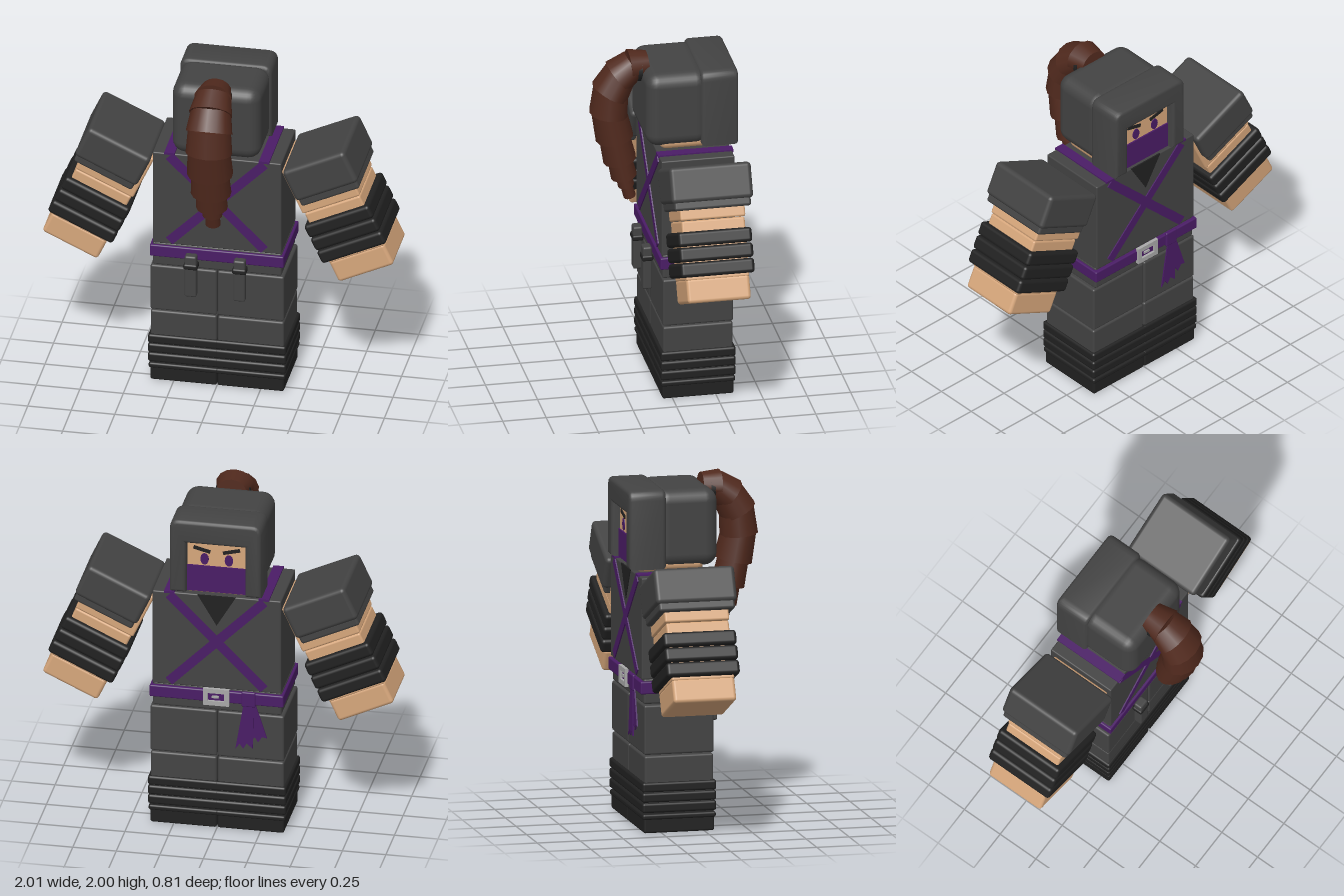
import * as THREE from 'three';
import { RoundedBoxGeometry } from 'three/addons/geometries/RoundedBoxGeometry.js';
import { toCreasedNormals } from 'three/addons/utils/BufferGeometryUtils.js';

const material = (name, color) => {
  const m = new THREE.MeshStandardMaterial({ color });
  m.name = name;
  return m;
};

export function createModel() {
  const cloth = material('greyCloth', 0x434343);
  const black = material('blackWrap', 0x212121);
  const skin = material('skin', 0xd6a67b);
  const purple = material('purpleSash', 0x4a1c66);
  const hair = material('brownHair', 0x50291d);
  const silver = material('silver', 0xa8a8a8);

  const model = new THREE.Group();
  model.name = 'maskedFighter';
  const MID = -0.147; // depth centre of the body

  const add = (parent, name, geometry, mat) => {
    const mesh = new THREE.Mesh(geometry, mat);
    mesh.name = name;
    parent.add(mesh);
    return mesh;
  };
  // Rounded box given by its extents on each axis
  const box = (parent, name, mat, [x0, x1], [y0, y1], [z0, z1], r = 0.012) => {
    const w = x1 - x0, h = y1 - y0, d = z1 - z0;
    const geometry = r > 0 ? new RoundedBoxGeometry(w, h, d, 3, r) : new THREE.BoxGeometry(w, h, d);
    const mesh = add(parent, name, geometry, mat);
    mesh.position.set((x0 + x1) / 2, (y0 + y1) / 2, (z0 + z1) / 2);
    return mesh;
  };
  const depth = (half) => [MID - half, MID + half];
  const polygon = (points) => new THREE.Shape(points.map(([x, y]) => new THREE.Vector2(x, y)));
  const plate = (parent, name, mat, shape, z, thick = 0.008) => {
    const mesh = add(parent, name, new THREE.ExtrudeGeometry(shape, { depth: thick, bevelEnabled: false }), mat);
    mesh.position.z = z;
    return mesh;
  };

  // Legs, feet and ankle wraps
  for (const side of [-1, 1]) {
    const leg = new THREE.Group();
    leg.name = side > 0 ? 'leftLeg' : 'rightLeg';
    leg.position.x = side * 0.193;
    model.add(leg);
    box(leg, 'thigh', cloth, [-0.191, 0.191], [0.45, 0.735], depth(0.202));
    box(leg, 'shin', cloth, [-0.19, 0.19], [0.115, 0.443], depth(0.2));
    for (let i = 0; i < 3; i++) {
      const y = 0.118 + i * 0.059;
      box(leg, 'ankleWrap', black, [-0.204, 0.204], [y, y + 0.056], depth(0.215), 0.014);
    }
    box(leg, 'foot', black, [-0.191, 0.191], [0, 0.1], depth(0.205));
    box(leg, 'footRim', black, [-0.2, 0.2], [0.078, 0.11], depth(0.213));
  }

  // Torso and belt
  box(model, 'waist', cloth, [-0.37, 0.37], [0.74, 0.885], depth(0.202));
  box(model, 'torso', cloth, [-0.37, 0.37], [0.882, 1.465], [-0.36, 0.06], 0.008);
  box(model, 'belt', purple, [-0.385, 0.385], [0.8, 0.872], [-0.37, 0.07], 0.008);

  // Crossed straps on both faces, joined over the shoulders
  for (const z of [0.061, -0.361]) {
    for (const side of [-1, 1]) {
      const strap = box(model, 'crossStrap', purple, [-0.027, 0.027], [-0.385, 0.385], [-0.006, 0.006], 0);
      strap.position.set(0, 1.178, z);
      strap.rotation.z = side * Math.PI / 4;
    }
  }
  for (const side of [-1, 1]) {
    const strap = box(model, 'shoulderStrap', purple, [-0.03, 0.03], [1.46, 1.473], [-0.367, 0.067], 0);
    strap.position.x = side * 0.272;
  }
  plate(model, 'collarNotch', black, polygon([[-0.11, 1.465], [0, 1.28], [0.11, 1.465]]), -0.364);

  // Buckle frame
  const frame = polygon([[-0.075, 0.785], [0.075, 0.785], [0.075, 0.888], [-0.075, 0.888]]);
  frame.holes.push(polygon([[-0.047, 0.812], [-0.047, 0.861], [0.047, 0.861], [0.047, 0.812]]));
  plate(model, 'buckle', silver, frame, -0.385, 0.02);
  box(model, 'bucklePin', silver, [-0.015, 0.025], [0.829, 0.842], [-0.38, -0.369], 0);

  // Hanging sash with notched tails
  box(model, 'sashKnot', purple, [-0.225, -0.145], [0.79, 0.882], [-0.379, -0.36], 0.008);
  plate(model, 'sashTail', purple, polygon([
    [-0.16, 0.82], [-0.215, 0.82], [-0.21, 0.53], [-0.175, 0.56], [-0.155, 0.525], [-0.135, 0.555], [-0.11, 0.52],
  ]), -0.376);
  plate(model, 'sashTail', purple, polygon([
    [-0.165, 0.82], [-0.22, 0.82], [-0.29, 0.6], [-0.262, 0.605], [-0.24, 0.57], [-0.222, 0.6], [-0.2, 0.58],
  ]), -0.37);

  // Small sheaths on the other side of the belt
  for (const side of [-1, 1]) {
    const sheath = new THREE.Group();
    sheath.name = 'sheath';
    sheath.position.x = side * 0.14;
    model.add(sheath);
    box(sheath, 'sheathBody', cloth, [-0.034, 0.034], [0.59, 0.85], [0.075, 0.128]);
    box(sheath, 'sheathBand', black, [-0.041, 0.041], [0.765, 0.8], [0.068, 0.134]);
  }

  // Arms, each modelled upright and then swung outwards
  for (const side of [-1, 1]) {
    const arm = new THREE.Group();
    arm.name = side > 0 ? 'leftArm' : 'rightArm';
    arm.rotation.z = side * THREE.MathUtils.degToRad(25);
    model.add(arm);
    const part = (name, mat, u, y, half, r) => {
      const mesh = box(arm, name, mat, u, y, depth(half), r);
      mesh.position.x *= side;
    };
    part('upperArm', skin, [0.925, 1.29], [0.83, 1.12], 0.187);
    part('forearm', skin, [0.935, 1.285], [0.49, 0.828], 0.182);
    part('hand', skin, [0.935, 1.285], [0.362, 0.503], 0.182, 0.02);
    part('shoulderPad', cloth, [0.942, 1.336], [0.93, 1.135], 0.235, 0.025);
    part('sleeveRim', cloth, [0.955, 1.322], [0.888, 0.95], 0.22, 0.015);
    for (let i = 0; i < 3; i++) {
      const y = 0.51 + i * 0.087;
      part('armWrap', black, [0.905, 1.315], [y, y + 0.083], 0.212, 0.02);
    }
  }

  // Head and face
  const head = new THREE.Group();
  head.name = 'head';
  model.add(head);
  box(head, 'skull', skin, [-0.23, 0.23], [1.468, 1.9], [-0.355, 0.04], 0.04);
  box(head, 'mask', purple, [-0.18, 0.18], [1.49, 1.65], [-0.364, -0.35], 0);
  for (const side of [-1, 1]) {
    const eye = add(head, 'eye', new THREE.CylinderGeometry(0.024, 0.024, 0.006, 20), purple);
    eye.rotation.x = Math.PI / 2;
    eye.scale.z = 1.45;
    eye.position.set(side * 0.07, 1.692, -0.357);
    const brow = box(head, 'eyebrow', black, [-0.05, 0.05], [-0.01, 0.01], [-0.003, 0.003], 0);
    brow.position.set(side * 0.085, 1.75, -0.358);
    brow.rotation.z = side * 0.25;
  }

  // Hood: rounded back and an arched front around the face
  box(head, 'hoodBack', cloth, [-0.255, 0.255], [1.49, 1.935], [-0.24, 0.118], 0.075);
  const arch = new THREE.Shape();
  arch.moveTo(-0.264, 1.49);
  arch.lineTo(-0.17, 1.49);
  arch.lineTo(-0.17, 1.8);
  arch.lineTo(0.17, 1.8);
  arch.lineTo(0.17, 1.49);
  arch.lineTo(0.264, 1.49);
  arch.lineTo(0.264, 1.885);
  arch.quadraticCurveTo(0.264, 1.942, 0.207, 1.942);
  arch.lineTo(-0.207, 1.942);
  arch.quadraticCurveTo(-0.264, 1.942, -0.264, 1.885);
  arch.closePath();
  const hoodGeometry = new THREE.ExtrudeGeometry(arch, {
    depth: 0.165, bevelThickness: 0.025, bevelSize: 0.022, bevelOffset: -0.022, bevelSegments: 4, curveSegments: 6,
  });
  add(head, 'hoodFront', toCreasedNormals(hoodGeometry, 0.6), cloth).position.z = -0.38;

  // Ponytail: overlapping flared locks along a curve, as [z, y, radius]
  const locks = [
    [0.085, 1.915, 0.075], [0.16, 1.91, 0.088], [0.23, 1.855, 0.1], [0.28, 1.765, 0.107], [0.292, 1.64, 0.106],
    [0.262, 1.49, 0.093], [0.232, 1.35, 0.073], [0.208, 1.245, 0.046], [0.195, 1.185, 0.035], [0.175, 1.115, 0.035],
  ];
  const tail = new THREE.Group();
  tail.name = 'ponytail';
  model.add(tail);
  for (let i = 0; i < locks.length - 1; i++) {
    const [z0, y0, r0] = locks[i], [z1, y1, r1] = locks[i + 1];
    const dz = z1 - z0, dy = y1 - y0;
    const geometry = new THREE.CylinderGeometry(r0 * 0.93, Math.max(r0, r1) * 1.02, Math.hypot(dz, dy) + 0.03, 14);
    geometry.scale(1.22, 1, 1);
    const lock = add(tail, 'hairLock', geometry, hair);
    lock.position.set(0, (y0 + y1) / 2, (z0 + z1) / 2);
    lock.rotation.x = Math.atan2(-dz, -dy);
  }
  const tie = add(tail, 'hairTie', new THREE.CylinderGeometry(0.083, 0.083, 0.025, 18), black);
  tie.scale.x = 1.2;
  tie.rotation.x = Math.PI / 2;
  tie.position.set(0, 1.9, 0.125);

  return model;
}
